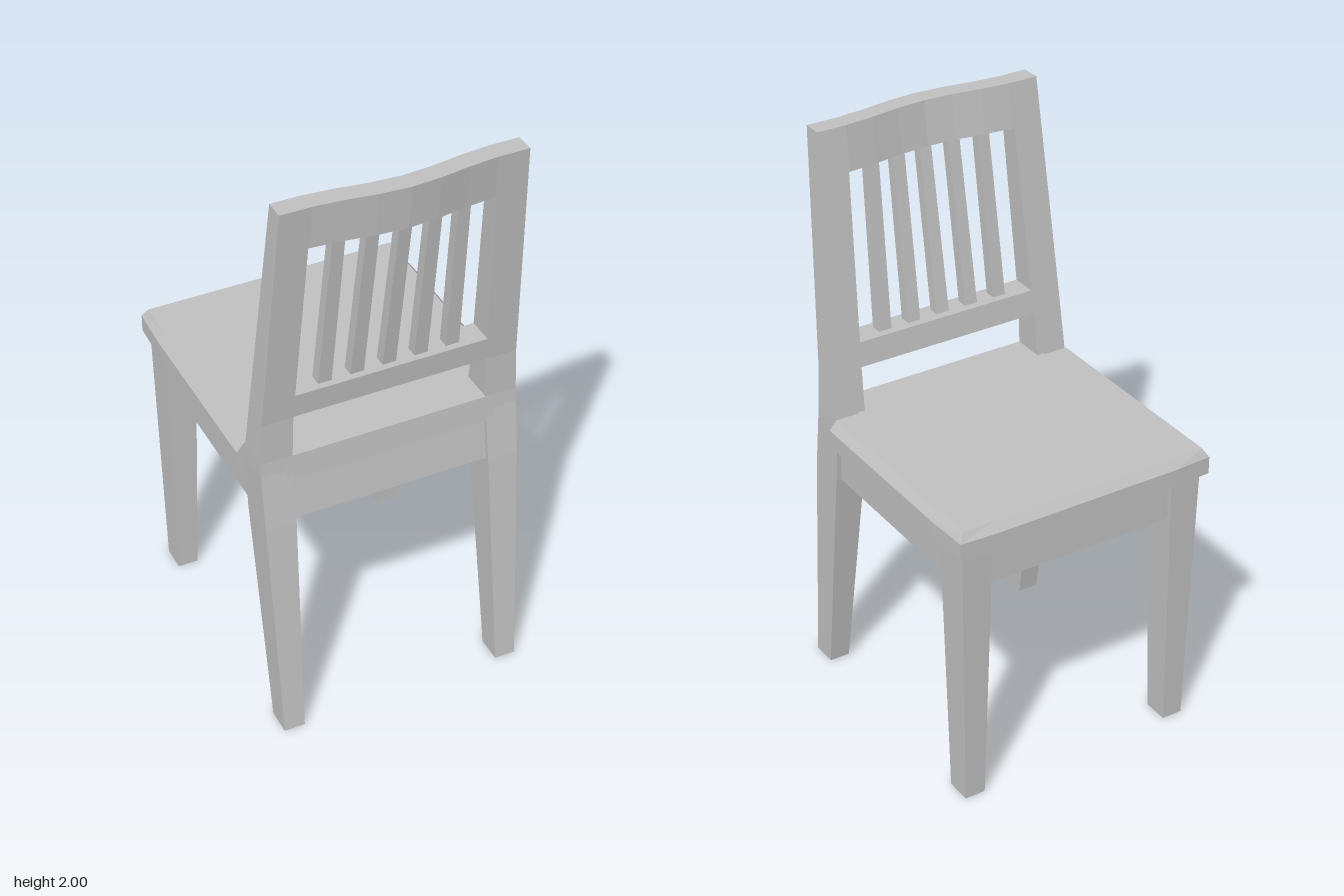
import * as THREE from 'three';

// Flat-shaded solid through convex cross-sections with equal point counts
function loft(sections) {
  const n = sections[0].length, tris = [];
  for (let s = 0; s < sections.length - 1; s++) {
    const a = sections[s], b = sections[s + 1];
    for (let i = 0; i < n; i++) {
      const j = (i + 1) % n;
      tris.push([a[i], a[j], b[j]], [a[i], b[j], b[i]]);
    }
  }
  const first = sections[0], last = sections[sections.length - 1];
  for (let i = 1; i < n - 1; i++) {
    tris.push([first[0], first[i + 1], first[i]], [last[0], last[i], last[i + 1]]);
  }
  // Turn the faces outward when the enclosed volume is negative
  let volume = 0;
  const c = new THREE.Vector3(...first[0]);
  for (const t of tris) {
    const [p, q, r] = t.map((v) => new THREE.Vector3(...v).sub(c));
    volume += p.dot(q.cross(r));
  }
  if (volume < 0) tris.forEach((t) => t.reverse());
  const g = new THREE.BufferGeometry();
  g.setAttribute('position', new THREE.Float32BufferAttribute(tris.flat(2), 3));
  g.computeVertexNormals();
  return g;
}

// Horizontal rectangle at height y
const rect = (y, x0, x1, z0, z1) => [[x0, y, z0], [x1, y, z0], [x1, y, z1], [x0, y, z1]];

// Front and rear surfaces of the leaning backrest
const backFront = (y) => 0.28 + 0.13 * (y - 1);
const backRear = (y) => 0.4 + 0.094 * (y - 1.2);
// Rearward bow of the top rail
const bow = (x) => 0.016 * (1 + Math.cos(Math.PI * Math.min(1, Math.abs(x) / 0.32)));

export function createModel() {
  const chair = new THREE.Group();
  chair.name = 'chair';
  const grey = new THREE.MeshStandardMaterial({ color: 0xc0c0c0 });
  grey.name = 'light grey';
  const add = (name, sections) => {
    const mesh = new THREE.Mesh(loft(sections), grey);
    mesh.name = name;
    chair.add(mesh);
  };

  for (const [side, s] of [['left', 1], ['right', -1]]) {
    // Rear leg continuing upward into the back post
    add(side + 'BackPost', [
      rect(0, s * 0.355, s * 0.427, 0.422, 0.512),
      rect(0.81, s * 0.338, s * 0.443, 0.298, 0.43),
      rect(1, s * 0.335, s * 0.444, 0.28, 0.404),
      rect(1.05, s * 0.335, s * 0.443, backFront(1.05), 0.4),
      rect(1.2, s * 0.331, s * 0.437, backFront(1.2), 0.4),
      rect(2, s * 0.3, s * 0.402, 0.41, 0.476),
    ]);
    // Tapered leg under the free edge of the seat
    add(side + 'FrontLeg', [
      rect(0, s * 0.355, s * 0.427, -0.465, -0.375),
      rect(0.96, s * 0.335, s * 0.444, -0.485, -0.355),
    ]);
  }

  // Seat slab with slightly curved edges and a chamfered top
  const seatOutline = (y, inset) => {
    const half = [[0.47, 0.28], [0.47, -0.35], [0.463, -0.507], [0.33, -0.514]];
    const right = half.map(([x, z]) => [x, z]);
    const plan = [...right, ...right.slice().reverse().map(([x, z]) => [-x, z])];
    return plan.map(([x, z]) => inset
      ? [Math.sign(x) * (Math.abs(x) > 0.4 ? 0.445 : 0.33), y, z > 0 ? z : Math.max(z, -0.49)]
      : [x, y, z]);
  };
  add('seat', [seatOutline(0.96, false), seatOutline(1.02, false), seatOutline(1.05, true)]);
  add('seatRearEdge', [rect(0.96, -0.36, 0.36, 0.27, 0.409), rect(1.05, -0.36, 0.36, 0.27, 0.4)]);

  // Solid frame below the seat
  add('apron', [rect(0.81, -0.425, 0.425, -0.465, 0.3), rect(0.96, -0.425, 0.425, -0.465, 0.285)]);
  add('rearApron', [rect(0.81, -0.35, 0.35, 0.27, 0.415), rect(0.96, -0.35, 0.35, 0.27, 0.396)]);

  // Straight lower rail of the backrest
  add('lowerBackRail', [1.2, 1.285].map((y) => rect(y, -0.34, 0.34, backFront(y), backRear(y))));

  // Bowed top rail
  const railSections = [-0.32, -0.3, -0.2, -0.1, 0, 0.1, 0.2, 0.3, 0.32].map((x) => [
    [x, 1.85, backFront(1.85) + bow(x)], [x, 1.85, backRear(1.85) + bow(x)],
    [x, 2, backRear(2) + bow(x)], [x, 2, backFront(2) + bow(x)],
  ]);
  add('topRail', railSections);

  // Five upright slats converging toward the top rail
  for (let i = -2; i <= 2; i++) {
    const low = i * 0.109, high = i * 0.102, b = bow(high);
    add('backSlat' + (i + 3), [
      rect(1.275, low - 0.023, low + 0.023, 0.343, 0.383),
      rect(1.86, high - 0.021, high + 0.021, 0.409 + b, 0.445 + b),
    ]);
  }
  return chair;
}
